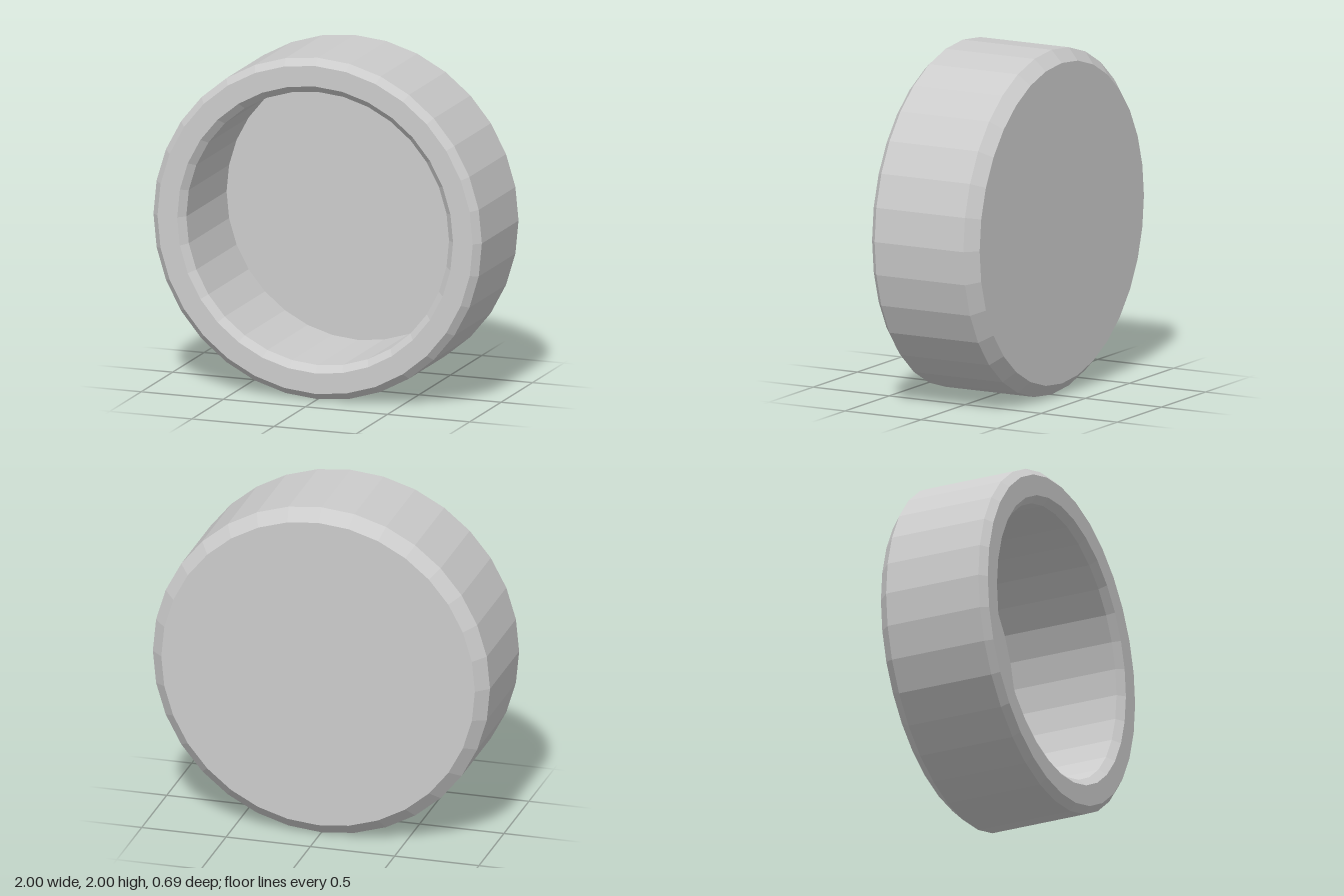
import * as THREE from 'three';

const SEGMENTS = 32;

export function createModel() {
  const group = new THREE.Group();
  group.name = 'roundCap';
  const material = new THREE.MeshStandardMaterial({ color: 0xcccccc, flatShading: true });

  // [radius, depth along the axis], from the back centre round the wall to the floor centre
  const profile = [
    [0, -0.345], [0.93, -0.345],              // back face
    [1, -0.278], [1, 0.305],                  // back chamfer, outer wall
    [0.96, 0.345], [0.84, 0.345],             // front chamfer, rim
    [0.8, 0.305], [0.8, -0.335], [0, -0.335], // inner chamfer, inner wall, thin floor
  ].map(([r, d]) => new THREE.Vector2(r, d));

  // Hollow cap, opening turned to the front
  const cap = new THREE.Mesh(new THREE.LatheGeometry(profile, SEGMENTS), material);
  cap.name = 'capShell';
  cap.rotation.x = Math.PI / 2;
  cap.position.y = 1;
  group.add(cap);

  return group;
}
